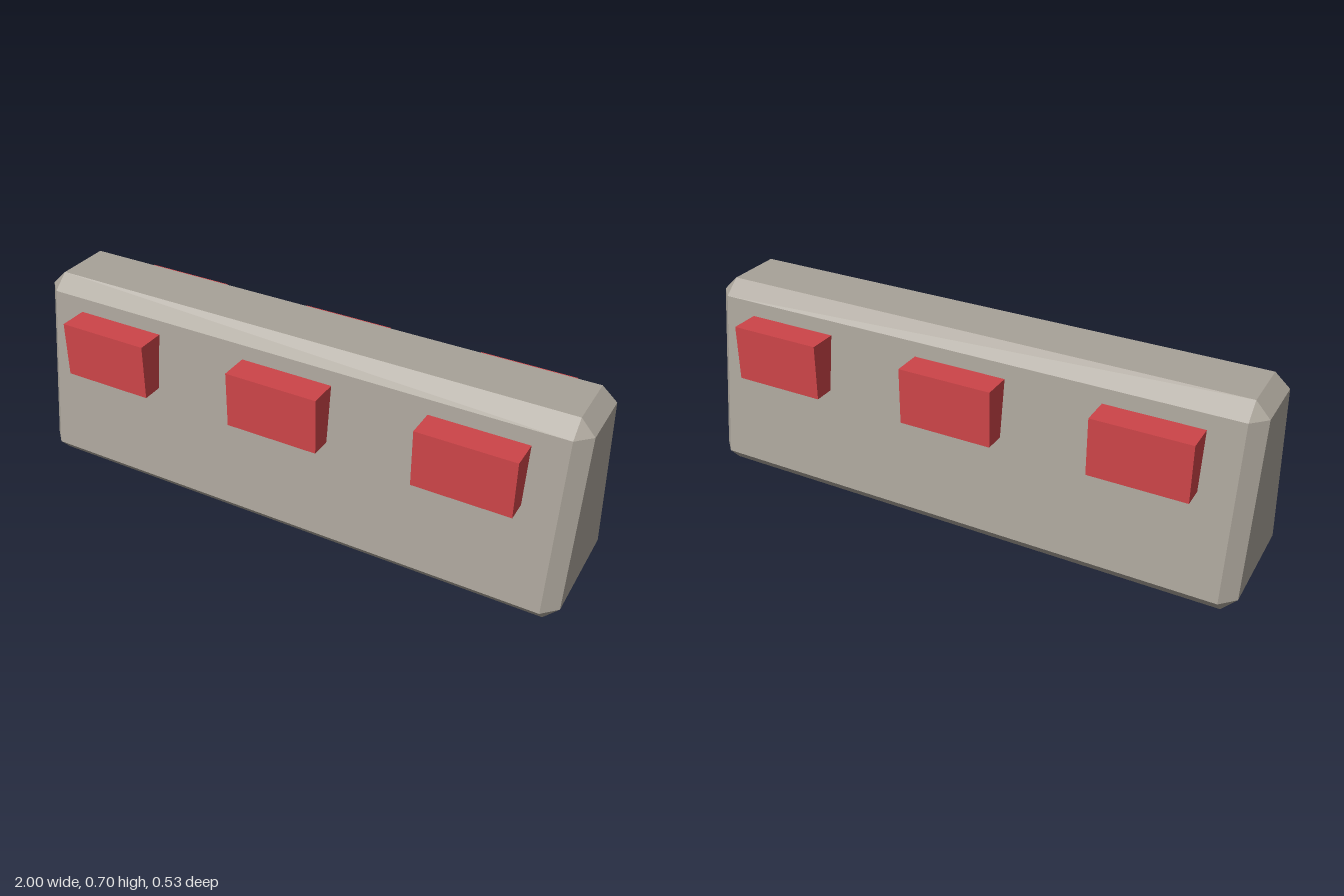
import * as THREE from 'three';
import { ConvexGeometry } from 'three/addons/geometries/ConvexGeometry.js';

export function createModel() {
  const model = new THREE.Group();
  model.name = 'roadBarrier';

  const concrete = new THREE.MeshStandardMaterial({ color: 0xa8a298 });
  concrete.name = 'concreteGrey';
  const red = new THREE.MeshStandardMaterial({ color: 0xcc4448 });
  red.name = 'reflectorRed';

  // Tapered block with bevelled edges: each corner is cut into three points
  const corner = [
    [0.95, 0, 0.2], [0.95, 0.05, 0.243], [1, 0.05, 0.193],
    [0.95, 0.7, 0.1], [0.95, 0.65, 0.157], [1, 0.65, 0.107],
  ];
  const points = [];
  for (const sx of [-1, 1]) {
    for (const sz of [-1, 1]) {
      for (const [x, y, z] of corner) points.push(new THREE.Vector3(sx * x, y, sz * z));
    }
  }
  const body = new THREE.Mesh(new ConvexGeometry(points), concrete);
  body.name = 'barrierBody';
  model.add(body);

  // Three reflector blocks set into each long face
  const blockGeometry = new THREE.BoxGeometry(0.333, 0.2, 0.133);
  for (const side of [1, -1]) {
    const row = new THREE.Group();
    row.name = side > 0 ? 'frontReflectors' : 'backReflectors';
    for (const x of [-0.667, 0, 0.667]) {
      const block = new THREE.Mesh(blockGeometry, red);
      block.name = 'reflector';
      block.position.set(x, 0.5, side * 0.2);
      row.add(block);
    }
    model.add(row);
  }
  return model;
}
